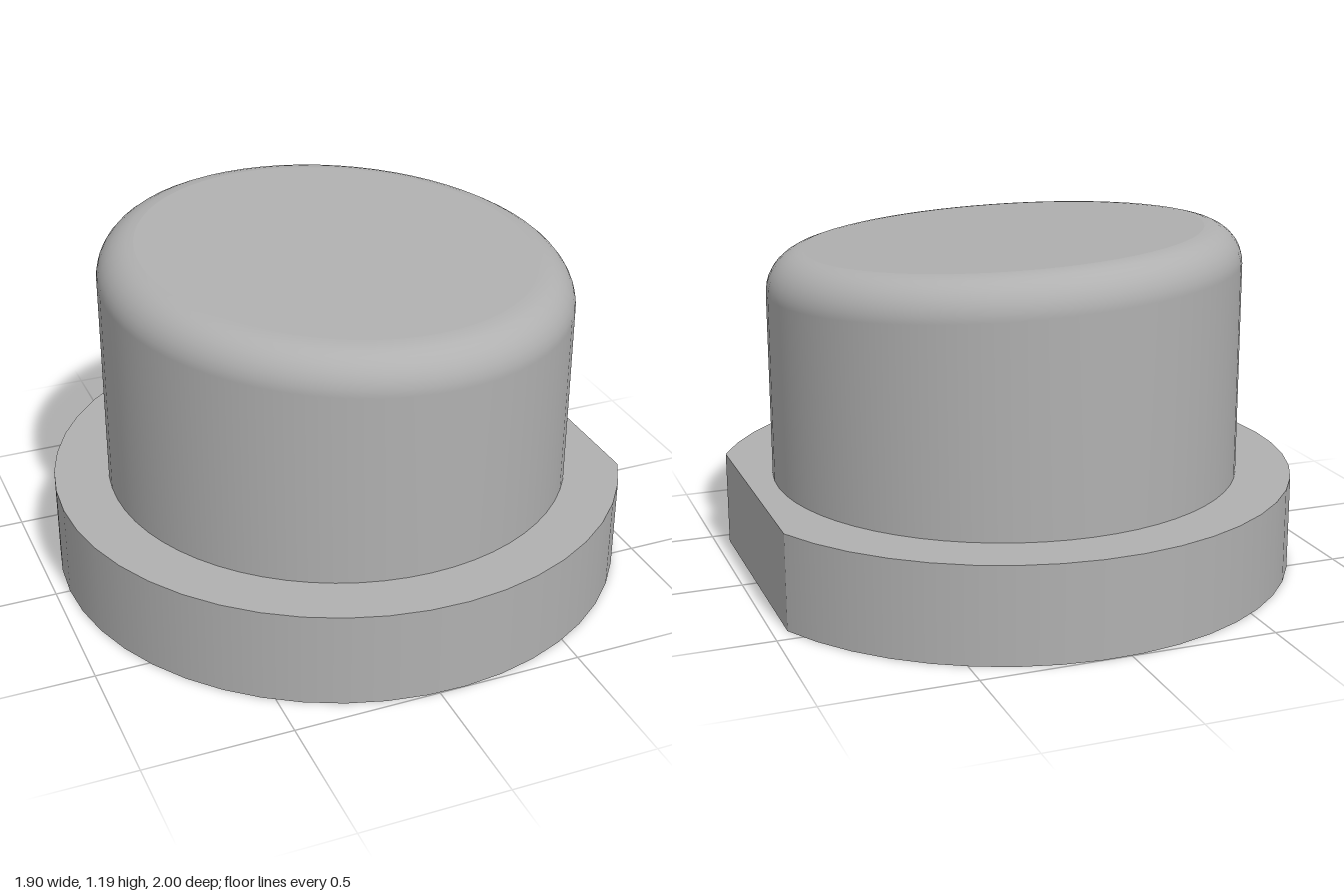
import * as THREE from 'three';

export function createModel() {
  const model = new THREE.Group();
  const grey = new THREE.MeshStandardMaterial({ color: 0xb0b0b0 });
  grey.name = 'plain grey';

  const axis = 0.05;          // the round parts share this x centre
  const flangeH = 0.33, flat = 0.9, bodyR = 0.81;
  const holeR = 0.57, holeDepth = 0.155;
  const half = Math.acos(flat); // half angle cut away by the flat side

  const add = (parent, name, geometry, y = 0) => {
    const mesh = new THREE.Mesh(geometry, grey);
    mesh.name = name;
    mesh.position.y = y;
    parent.add(mesh);
    return mesh;
  };

  // Flange: a disc with one flat side on +x
  const flange = new THREE.Group();
  flange.name = 'flange';
  const ring = (hole) => {
    const shape = new THREE.Shape();
    shape.absarc(0, 0, 1, half, 2 * Math.PI - half, false);
    shape.closePath();
    shape.holes.push(new THREE.Path().absarc(0, 0, hole, 0, 2 * Math.PI, true));
    return new THREE.ShapeGeometry(shape, 20);
  };
  add(flange, 'flangeTop', ring(bodyR - 0.01).rotateX(-Math.PI / 2), flangeH);
  add(flange, 'flangeBottom', ring(holeR).rotateX(Math.PI / 2));
  add(flange, 'flangeRim', new THREE.CylinderGeometry(1, 1, flangeH, 40, 1, true,
    Math.PI / 2 + half, 2 * Math.PI - 2 * half), flangeH / 2);
  const side = add(flange, 'flangeFlat',
    new THREE.PlaneGeometry(2 * Math.sin(half), flangeH).rotateY(Math.PI / 2), flangeH / 2);
  side.position.x = flat;

  // Shallow round recess underneath; the profile runs downward so it faces inward
  const wall = [new THREE.Vector2(holeR, holeDepth), new THREE.Vector2(holeR, 0)];
  add(flange, 'recessWall', new THREE.LatheGeometry(wall, 40));
  add(flange, 'recessCeiling', new THREE.CircleGeometry(holeR, 40).rotateX(Math.PI / 2), holeDepth);

  // Body: a cylinder with a rounded shoulder and a slightly tilted top
  const body = new THREE.Group();
  body.name = 'body';
  const topY = 1.145, fillet = 0.13;
  const tilt = (geometry, fromY) => {
    const p = geometry.attributes.position;
    for (let i = 0; i < p.count; i++) {
      if (p.getY(i) > fromY) p.setY(i, p.getY(i) - 0.05 * p.getX(i) - 0.04 * p.getZ(i));
    }
    return geometry;
  };
  const profile = [new THREE.Vector2(bodyR, flangeH)];
  for (let i = 0; i <= 8; i++) {
    const a = (i / 8) * Math.PI / 2;
    profile.push(new THREE.Vector2(bodyR - fillet + fillet * Math.cos(a),
      topY - fillet + fillet * Math.sin(a)));
  }
  add(body, 'bodyWall', tilt(new THREE.LatheGeometry(profile, 64), 0.9));
  const cap = tilt(new THREE.CircleGeometry(bodyR - fillet, 64)
    .rotateX(-Math.PI / 2).translate(0, topY, 0), 0.9);
  cap.computeVertexNormals();
  add(body, 'bodyTop', cap);

  flange.position.x = body.position.x = axis;
  model.add(flange, body);
  return model;
}
